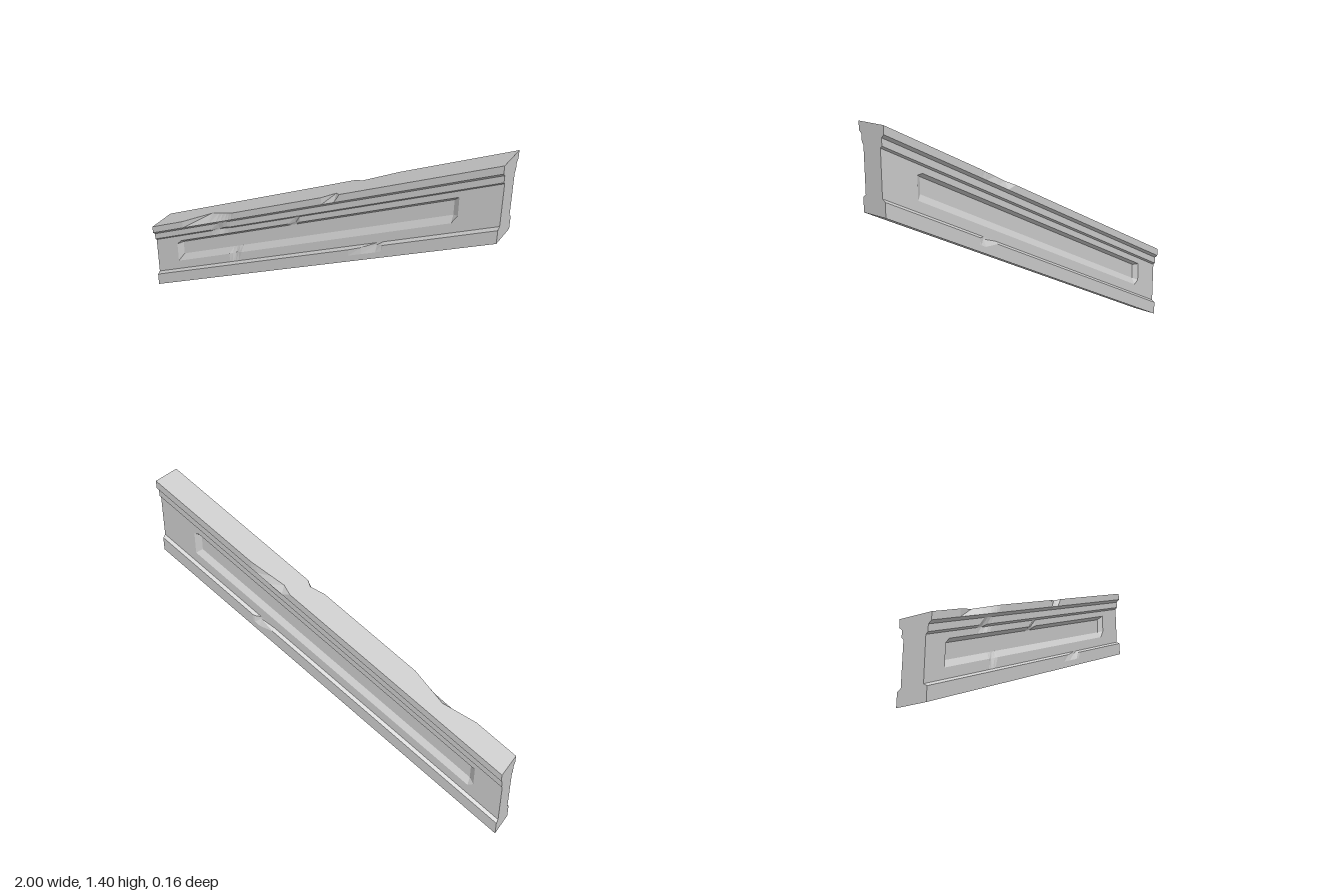
import * as THREE from 'three';

// Cross-section of one side, bottom to top: [height, half thickness]
const profile = [
  [0, 0.072], [0.035, 0.072], [0.07, 0.072], [0.082, 0.055], [0.135, 0.055], [0.17, 0.055],
  [0.25, 0.055], [0.267, 0.055], [0.3, 0.055], [0.31, 0.065], [0.345, 0.065], [0.36, 0.08], [0.4, 0.08],
];
const panel = { left: -0.85, right: 0.8, bevel: 0.03, depth: 0.02 };

// Worn chips: [side, profile row, start x, deepest x, end x, half thickness at the deepest point]
const chips = [
  [1, 12, -0.78, -0.61, -0.43, 0.03],
  [1, 12, 0.1, 0.17, 0.2, 0.055],
  [1, 9, -0.6, -0.55, -0.47, 0.052],
  [1, 8, -0.6, -0.52, -0.47, 0.045],
  [1, 7, -0.11, -0.07, -0.04, 0.042],
  [1, 4, -0.49, -0.45, -0.41, 0.043],
  [1, 2, 0.25, 0.4, 0.44, 0.056],
  [-1, 12, 0.2, 0.25, 0.43, 0.055],
  [-1, 2, 0.32, 0.4, 0.44, 0.056],
];

const clamp01 = (t) => Math.min(1, Math.max(0, t));

// Half thickness at a position, with the sunk panel and the chips taken out
function thickness(side, row, x) {
  let z = profile[row][1];
  if (row === 5 || row === 6) {
    const inset = Math.min(x - panel.left, panel.right - x) / panel.bevel;
    z -= panel.depth * clamp01(inset);
  }
  for (const [s, r, x0, xm, x1, zm] of chips) {
    if (s !== side || r !== row) continue;
    const t = clamp01(Math.min((x - x0) / (xm - x0), (x1 - x) / (x1 - xm)));
    z = Math.min(z, z + (zm - z) * t);
  }
  return z;
}

// Sloping beam: the section is slid along x and raised by half of the distance
function beamGeometry() {
  const stations = [...new Set([
    -1, 1, panel.left, panel.left + panel.bevel, panel.right - panel.bevel, panel.right,
    ...chips.flatMap((c) => c.slice(2, 5)),
  ])].sort((a, b) => a - b);
  const rows = profile.length;
  const ring = rows * 2;
  const positions = [];
  const index = [];
  const quad = (a, b, c, d) => index.push(a, b, c, a, c, d);

  for (const x of stations) {
    for (let k = 0; k < ring; k++) {
      const side = k < rows ? 1 : -1;
      const row = side > 0 ? k : ring - 1 - k;
      positions.push(x, profile[row][0] + (x + 1) / 2, side * thickness(side, row, x));
    }
  }
  for (let i = 0; i < stations.length - 1; i++) {
    for (let k = 0; k < ring; k++) {
      const n = (k + 1) % ring;
      quad(i * ring + k, (i + 1) * ring + k, (i + 1) * ring + n, i * ring + n);
    }
  }
  // End faces
  const last = (stations.length - 1) * ring;
  for (let j = 0; j < rows - 1; j++) {
    const back = ring - 1 - j;
    quad(last + j, last + back, last + back - 1, last + j + 1);
    quad(back, j, j + 1, back - 1);
  }

  const indexed = new THREE.BufferGeometry();
  indexed.setAttribute('position', new THREE.Float32BufferAttribute(positions, 3));
  indexed.setIndex(index);
  const geometry = indexed.toNonIndexed();
  geometry.computeVertexNormals();
  return geometry;
}

export function createModel() {
  const group = new THREE.Group();
  group.name = 'slopingStoneBalustrade';
  const material = new THREE.MeshStandardMaterial({ color: 0xcccccc, flatShading: true });
  const beam = new THREE.Mesh(beamGeometry(), material);
  beam.name = 'mouldedBeam';
  group.add(beam);
  return group;
}
